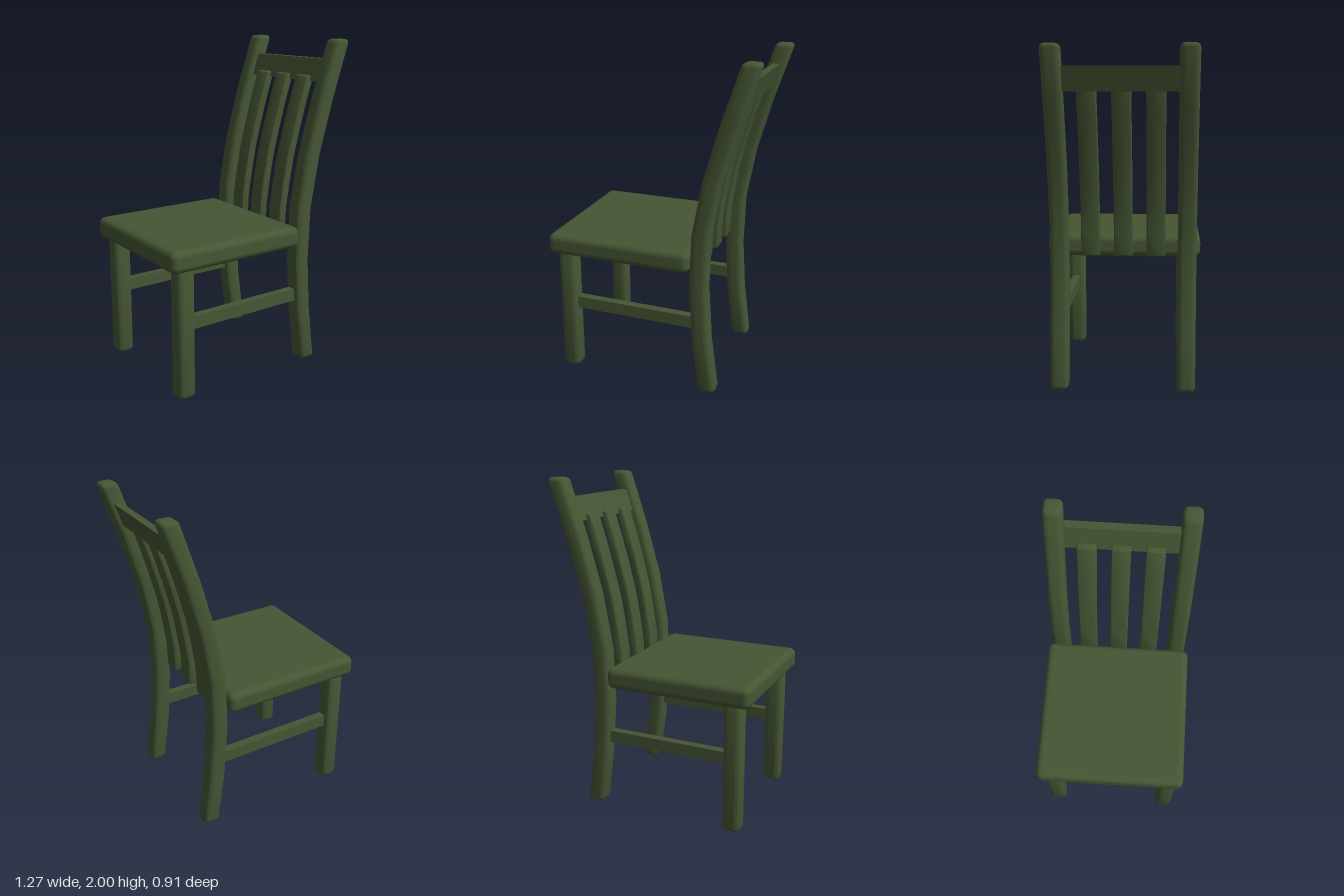
import * as THREE from 'three';
import { toCreasedNormals } from 'three/addons/utils/BufferGeometryUtils.js';
import { RoundedBoxGeometry } from 'three/addons/geometries/RoundedBoxGeometry.js';

// Centre line of the curved back: [height, x]
const SWEEP = [
  [0, 0.376], [0.025, 0.373], [0.35, 0.33], [0.675, 0.309], [1.0, 0.32],
  [1.325, 0.379], [1.65, 0.471], [1.975, 0.579], [2, 0.585],
];

function sweepX(y) {
  let i = 0;
  while (i < SWEEP.length - 2 && y > SWEEP[i + 1][0]) i++;
  const [y0, x0] = SWEEP[i], [y1, x1] = SWEEP[i + 1];
  return x0 + ((x1 - x0) * (y - y0)) / (y1 - y0);
}

// Shift every vertex sideways so the part follows the curved back
function followBack(geometry, offset = 0) {
  const p = geometry.attributes.position;
  for (let i = 0; i < p.count; i++) p.setX(i, p.getX(i) + sweepX(p.getY(i)) + offset);
  return toCreasedNormals(geometry, 0.7);
}

function roundedRect(w, d, r) {
  const x = w / 2, y = d / 2, s = new THREE.Shape();
  s.moveTo(x, -y + r);
  s.lineTo(x, y - r);
  s.absarc(x - r, y - r, r, 0, Math.PI / 2);
  s.lineTo(-x + r, y);
  s.absarc(-x + r, y - r, r, Math.PI / 2, Math.PI);
  s.lineTo(-x, -y + r);
  s.absarc(-x + r, -y + r, r, Math.PI, Math.PI * 1.5);
  s.lineTo(x - r, -y);
  s.absarc(x - r, -y + r, r, Math.PI * 1.5, Math.PI * 2);
  return s;
}

// Upright bar with rounded edges and ends, from y0 to y1
function upright(w, d, y0, y1, r, bevel, steps) {
  const g = new THREE.ExtrudeGeometry(roundedRect(w, d, r), {
    depth: y1 - y0 - 2 * bevel, steps, curveSegments: 3,
    bevelThickness: bevel, bevelSize: bevel, bevelOffset: -bevel, bevelSegments: 3,
  });
  g.rotateX(-Math.PI / 2);
  g.translate(0, y0 + bevel, 0);
  return g;
}

export function createModel() {
  const chair = new THREE.Group();
  chair.name = 'chair';
  const wood = new THREE.MeshStandardMaterial({ color: 0x465634 });
  wood.name = 'green painted wood';

  const add = (name, geometry, x = 0, y = 0, z = 0) => {
    const mesh = new THREE.Mesh(geometry, wood);
    mesh.name = name;
    mesh.position.set(x, y, z);
    chair.add(mesh);
  };

  // Seat
  add('seat', new RoundedBoxGeometry(0.9, 0.13, 0.91, 4, 0.04), -0.19, 0.84, 0);

  // Legs, curved back posts and side stretchers, mirrored
  const frontLeg = toCreasedNormals(upright(0.11, 0.11, 0, 0.8, 0.032, 0.025, 1), 0.7);
  const backPost = followBack(upright(0.108, 0.11, 0, 2, 0.032, 0.025, 6));
  const stretcher = new THREE.BoxGeometry(0.8, 0.075, 0.05);
  for (const side of [1, -1]) {
    add('frontLeg', frontLeg, -0.532, 0, side * 0.375);
    add('backPost', backPost, 0, 0, side * 0.375);
    add('sideStretcher', stretcher, -0.1, 0.449, side * 0.375);
  }

  // Top rail between the posts
  const rail = new THREE.BoxGeometry(0.045, 0.136, 0.68, 1, 2, 1);
  rail.translate(0, 1.814, 0);
  add('topRail', followBack(rail));

  // Back slats
  const slat = followBack(upright(0.055, 0.11, 0.79, 1.78, 0.012, 0.01, 6), -0.025);
  for (const z of [-0.193, 0, 0.193]) add('backSlat', slat, 0, 0, z);

  return chair;
}
